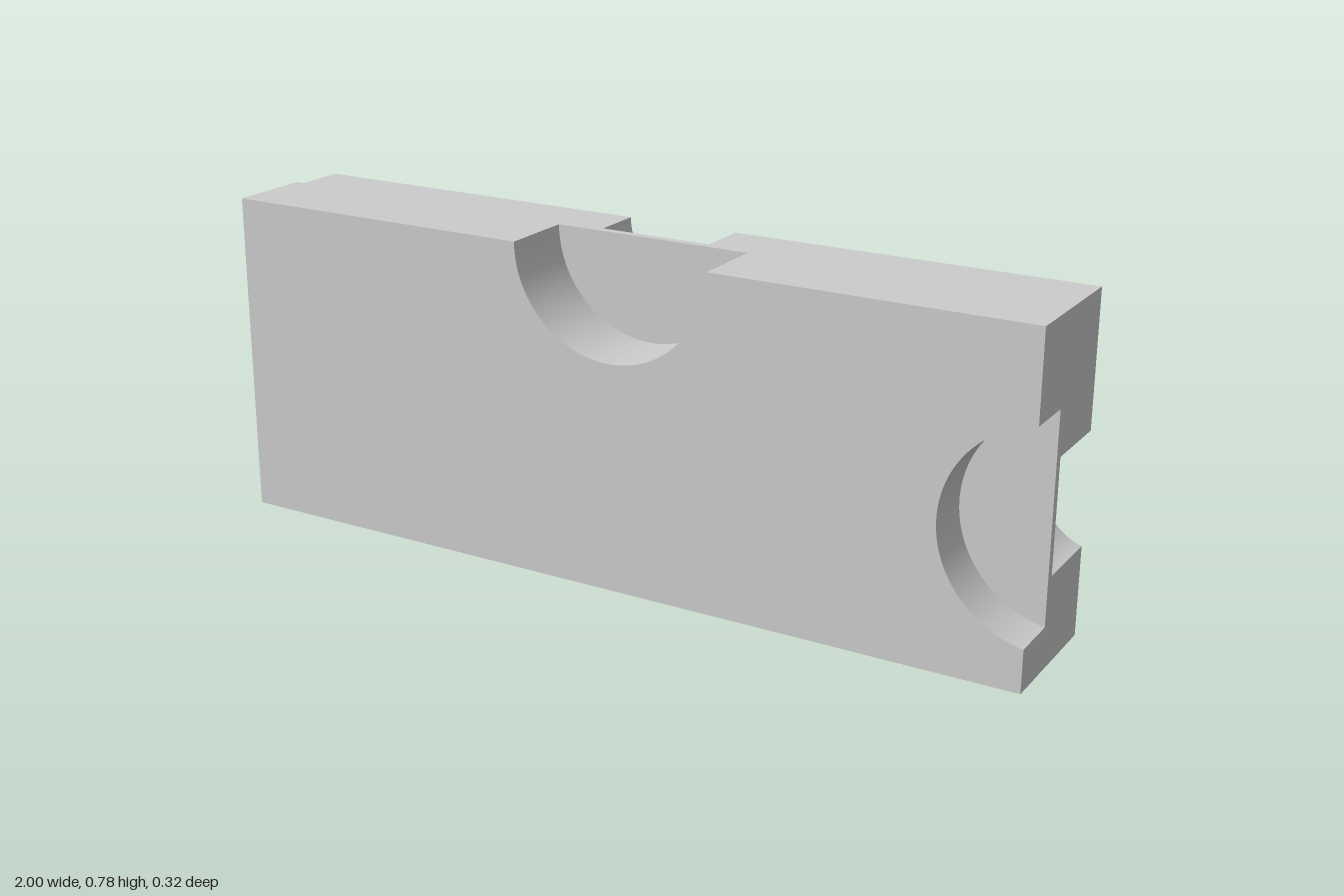
import * as THREE from 'three';
import { mergeGeometries, toCreasedNormals } from 'three/addons/utils/BufferGeometryUtils.js';

const H = 0.777, D = 0.16;              // block height and half depth
const R = 0.241, r = 0.136;             // wide (front) and narrow (back) pocket radii
const NX = -0.978, NY = H - 0.054;      // corner notch

const arc = (cx, cy, rad, from, to, n = 48) =>
  Array.from({ length: n + 1 }, (_, i) => {
    const a = from + (to - from) * i / n;
    return new THREE.Vector2(cx + rad * Math.cos(a), cy + rad * Math.sin(a));
  });

// Half-round pocket in the top edge, centred on the edge
const topArc = rad => arc(0.022, H, rad, 0, -Math.PI);

// Round pocket in the left end, its centre just outside the block
const sideArc = rad => {
  const a = Math.acos(0.04 / rad);
  return arc(1.04, 0.337, rad, Math.PI + a, Math.PI - a);
};

const notch = () => [[NX, H], [NX, NY], [-1, NY]].map(p => new THREE.Vector2(...p));

// Counter-clockwise cross-section of the block
function outline(topR, sideR, notched) {
  return [
    new THREE.Vector2(-1, 0), new THREE.Vector2(1, 0),
    ...(sideR ? sideArc(sideR) : []),
    new THREE.Vector2(1, H),
    ...(topR ? topArc(topR) : []),
    ...(notched ? notch() : [new THREE.Vector2(-1, H)]),
  ];
}

// Walls following an outline between two depths
function walls(points, z0, z1) {
  const pos = [];
  points.forEach((a, i) => {
    const b = points[(i + 1) % points.length];
    pos.push(a.x, a.y, z0, b.x, b.y, z0, b.x, b.y, z1);
    pos.push(a.x, a.y, z0, b.x, b.y, z1, a.x, a.y, z1);
  });
  const g = new THREE.BufferGeometry();
  g.setAttribute('position', new THREE.Float32BufferAttribute(pos, 3));
  return g;
}

// Flat face at depth z, looking to the front (+1) or back (-1)
function face(points, z, dir) {
  const g = new THREE.ShapeGeometry(new THREE.Shape(points));
  if (dir < 0) g.index.array.reverse();
  const flat = g.toNonIndexed().translate(0, 0, z);
  flat.deleteAttribute('uv');
  flat.deleteAttribute('normal');
  return flat;
}

export function createModel() {
  const group = new THREE.Group();
  group.name = 'pocketedBlock';
  const material = new THREE.MeshStandardMaterial({ color: 0xcccccc });
  const add = (name, parts) => {
    const g = mergeGeometries(parts);
    g.computeVertexNormals();
    const mesh = new THREE.Mesh(toCreasedNormals(g, Math.PI / 6), material);
    mesh.name = name;
    group.add(mesh);
  };

  // Block shell: one band of walls for each change of section, plus both big faces
  const bands = [
    [-D, -0.04, r, r, true],
    [-0.04, -0.02, 0, r, false],
    [-0.02, 0.02, R, r, false],
    [0.02, 0.04, R, 0, false],
    [0.04, D, R, R, false],
  ];
  add('block', [
    ...bands.map(([z0, z1, t, s, n]) => walls(outline(t, s, n), z0, z1)),
    face(outline(R, R, false), D, 1),
    face(outline(r, r, true), -D, -1),
  ]);

  // Pocket floors
  add('topFrontPocketFloor', [face(topArc(R), -0.02, 1)]);
  add('topBackPocketFloor', [face(topArc(r), -0.04, -1)]);
  add('endFrontPocketFloor', [face(sideArc(R), 0.04, 1)]);
  add('endBackPocketFloor', [face(sideArc(r), 0.02, -1)]);
  add('cornerNotchFloor', [face([...notch(), new THREE.Vector2(-1, H)], -0.04, -1)]);
  return group;
}
